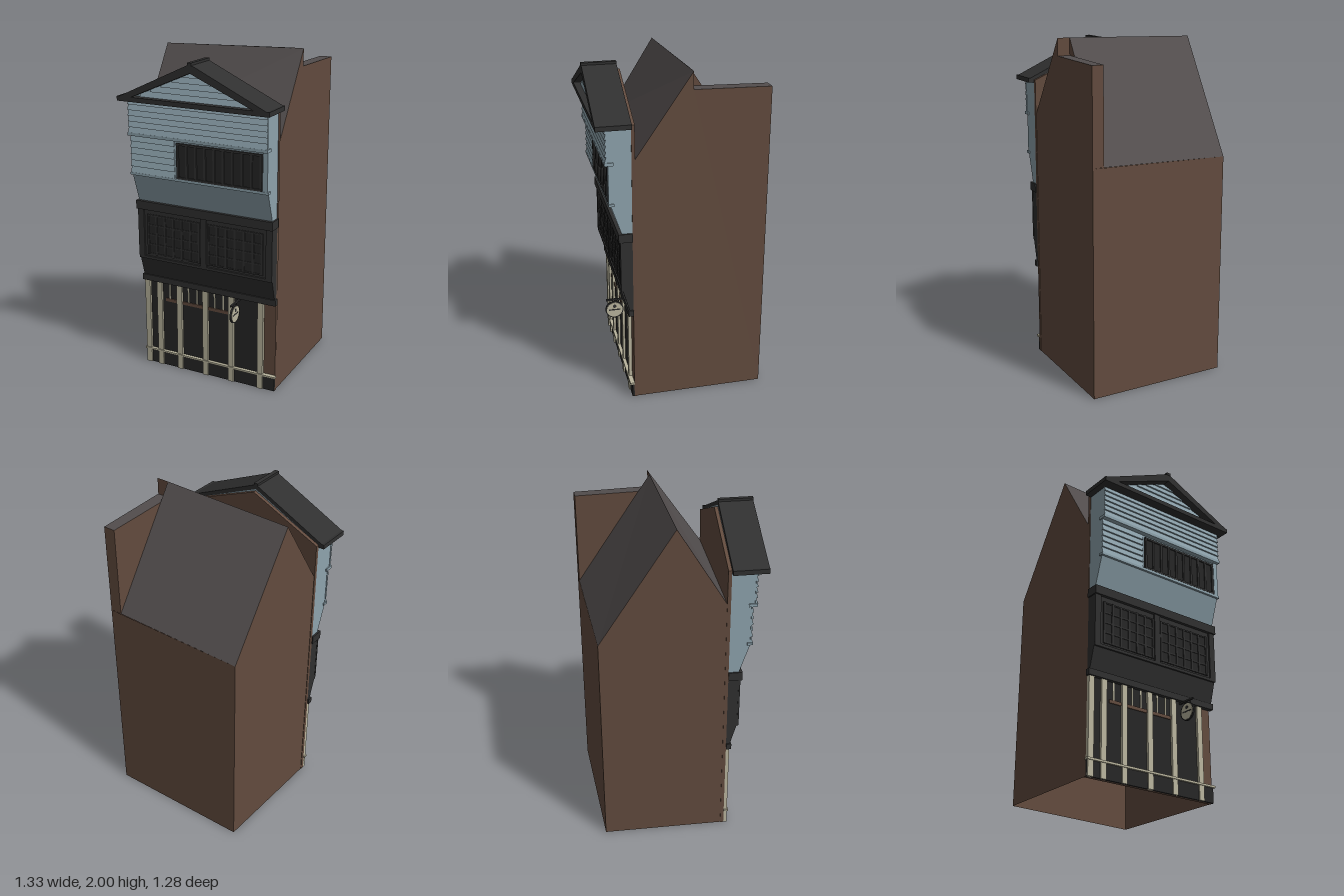
import * as THREE from 'three';

const mat = (name, color, side = THREE.FrontSide) => {
  const m = new THREE.MeshStandardMaterial({ color, side });
  m.name = name;
  return m;
};

export function createModel() {
  const brown = mat('brown wall', 0x624b3e, THREE.DoubleSide);
  const slate = mat('slate roof', 0x524d4d, THREE.DoubleSide);
  const black = mat('black timber', 0x303030);
  const dark = mat('dark glass', 0x262626);
  const blue = mat('blue siding', 0x8ea3ad);
  const cream = mat('cream paint', 0xbab59e);

  const model = new THREE.Group();
  model.name = 'townHouse';

  // Local frame: x runs along the facade, z points out of it
  const house = new THREE.Group();
  house.name = 'house';
  house.position.set(-0.23, 0, 0.135);
  house.rotation.y = -0.958;
  model.add(house);

  const add = (name, geo, material, parent = house) => {
    const mesh = new THREE.Mesh(geo, material);
    mesh.name = name;
    parent.add(mesh);
    return mesh;
  };
  // Box given by its limits
  const box = (name, x0, x1, y0, y1, z0, z1, material) => {
    const m = add(name, new THREE.BoxGeometry(x1 - x0, y1 - y0, z1 - z0), material);
    m.position.set((x0 + x1) / 2, (y0 + y1) / 2, (z0 + z1) / 2);
    return m;
  };
  const outline = pts => new THREE.Shape(pts.map(p => new THREE.Vector2(...p)));
  // Side profile of [z, y] points, swept along x from x0 to x1
  const sweep = (name, pts, x0, x1, material) => {
    const g = new THREE.ExtrudeGeometry(outline(pts), { depth: x1 - x0, bevelEnabled: false });
    g.rotateY(-Math.PI / 2);
    g.translate(x1, 0, 0);
    return add(name, g, material);
  };
  // Front outline of [x, y] points, swept from z0 to z1
  const slab = (name, pts, z0, z1, material) => {
    const g = new THREE.ExtrudeGeometry(outline(pts), { depth: z1 - z0, bevelEnabled: false });
    g.translate(0, 0, z0);
    return add(name, g, material);
  };
  // Flat polygons, each fanned from its first corner
  const faces = (name, polys, material) => {
    const pos = [];
    for (const p of polys)
      for (let i = 1; i < p.length - 1; i++) pos.push(...p[0], ...p[i], ...p[i + 1]);
    const g = new THREE.BufferGeometry();
    g.setAttribute('position', new THREE.Float32BufferAttribute(pos, 3));
    g.computeVertexNormals();
    return add(name, g, material);
  };

  // Main body: slightly skewed plan, open underneath
  const f0 = [-0.44, 0, -0.02], f1 = [0.44, 0, -0.02];
  const b1 = [0.426, 0, -0.788], b0 = [-0.433, 0, -0.732];
  const e0 = [-0.44, 1.53, -0.02], e1 = [0.44, 1.53, -0.02];
  const r0 = [-0.435, 1.98, -0.297], r1 = [0.432, 2, -0.345], r1in = [0.357, 2, -0.341];
  const k0 = [-0.433, 1.32, -0.732], k1in = [0.357, 1.34, -0.783], k1 = [0.426, 1.34, -0.788];
  const w1 = [0.432, 1.9, -0.345], w2 = [0.426, 1.89, -0.788];
  const v1 = [0.357, 1.9, -0.341], v2 = [0.357, 1.89, -0.783];
  faces('bodyWalls', [
    [b1, f1, e1, w1, w2], [e1, r1, w1],
    [f0, b0, k0, r0, e0],
    [b0, b1, k1, k0],
  ], brown);
  // Raised end wall behind the ridge
  faces('raisedEndWall', [[k1in, k1, w2, v2], [k1in, v2, v1, r1in], [v1, w1, r1, r1in]], brown);
  faces('raisedEndWallTop', [[v1, w1, w2, v2]], slate);
  faces('mainRoof', [[e0, e1, r1, r0], [r1in, k1in, k0, r0]], slate);

  // Facade wall with its pointed top
  slab('facadeWall', [[-0.443, 0], [0.443, 0], [0.443, 1.73], [0, 1.92], [-0.443, 1.73]], -0.02, 0, brown);

  // Ground floor shop front
  box('shopGlass', -0.41, 0.35, 0, 0.565, 0, 0.006, dark);
  box('shopPlinth', -0.443, 0.443, 0, 0.09, 0, 0.012, dark);
  box('shopSill', -0.45, 0.45, 0.088, 0.1, 0, 0.026, cream);
  for (const x of [-0.425, -0.34, -0.2, -0.02, 0.155, 0.35])
    box('shopPost', x - 0.018, x + 0.018, 0, 0.565, 0, 0.02, cream);
  box('shopTransom', -0.3, 0.15, 0.438, 0.458, 0, 0.012, brown);
  for (const x of [-0.27, -0.14, -0.08, 0.04, 0.1])
    box('transomBar', x - 0.004, x + 0.004, 0.458, 0.565, 0, 0.01, cream);

  // Black first floor with flared base, ledges and two lattice windows
  sweep('firstFloor', [[0, 0.59], [0.02, 0.59], [0.06, 0.73], [0.06, 1.09], [0, 1.09]], -0.443, 0.443, black);
  box('lowerLedge', -0.452, 0.452, 0.563, 0.6, 0, 0.03, black);
  box('upperLedge', -0.45, 0.45, 1.04, 1.092, 0, 0.08, black);
  box('windowSill', -0.443, 0.443, 0.725, 0.742, 0, 0.07, black);
  for (const x of [-0.425, 0, 0.425])
    box('windowPost', x - 0.02, x + 0.02, 0.742, 1.04, 0.06, 0.07, black);
  for (const c of [-0.205, 0.205]) {
    box('latticeGlass', c - 0.175, c + 0.175, 0.755, 1.01, 0.058, 0.063, dark);
    for (let i = 0; i <= 6; i++) {
      const x = c - 0.174 + i * 0.058;
      box('latticeUpright', x - 0.006, x + 0.006, 0.755, 1.01, 0.06, 0.068, black);
    }
    for (let i = 0; i <= 4; i++) {
      const y = 0.76 + i * 0.061;
      box('latticeBar', c - 0.18, c + 0.18, y - 0.004, y + 0.004, 0.06, 0.067, black);
    }
  }

  // Blue upper floors, jettied out in steps
  sweep('upperFloors', [[0, 1.09], [0.06, 1.09], [0.12, 1.27], [0.12, 1.51],
    [0.138, 1.515], [0.138, 1.72], [0, 1.72]], -0.44, 0.44, blue);
  box('lowerTrim', -0.447, 0.447, 1.265, 1.28, 0.1, 0.132, blue);
  box('middleTrim', -0.447, 0.447, 1.505, 1.523, 0.1, 0.15, blue);
  // One wedge-shaped clapboard
  const board = (x0, x1, y, h, z) =>
    sweep('clapboard', [[z - 0.004, y], [z + 0.011, y], [z + 0.001, y + h], [z - 0.004, y + h]], x0, x1, blue);
  for (let i = 0; i < 6; i++) {
    board(-0.443, -0.15, 1.28 + i * 0.0375, 0.0375, 0.12);
    board(-0.443, 0.443, 1.523 + i * 0.033, 0.033, 0.138);
  }

  // Barred window of the second floor
  box('barredGlass', -0.134, 0.405, 1.28, 1.49, 0.118, 0.126, dark);
  for (let i = 0; i <= 9; i++) {
    const x = -0.128 + i * 0.0585;
    box('windowBar', x - 0.007, x + 0.007, 1.28, 1.49, 0.12, 0.132, black);
  }
  for (const y of [1.286, 1.484])
    box('windowRail', -0.135, 0.406, y - 0.006, y + 0.006, 0.12, 0.133, black);
  box('windowJamb', 0.41, 0.44, 1.28, 1.505, 0.12, 0.13, blue);

  // Front gable: soffit, siding, pitched roof and ridge cap
  box('soffit', -0.478, 0.478, 1.715, 1.742, 0, 0.2, black);
  slab('gableWall', [[-0.43, 1.735], [0.43, 1.735], [0, 1.93]], 0, 0.15, blue);
  for (let i = 0; i < 5; i++) {
    const y = 1.742 + i * 0.033;
    const half = 0.478 * (1.925 - y - 0.033) / 0.225 + 0.03;
    board(-half, half, y, 0.033, 0.15);
  }
  slab('gableRoof', [[-0.478, 1.735], [-0.4, 1.735], [0, 1.908], [0.4, 1.735], [0.478, 1.735], [0, 1.958]], 0, 0.2, black);
  sweep('ridgeCap', [[0, 1.948], [0.202, 1.948], [0.202, 1.966], [0, 1.966]], -0.013, 0.013, black);

  // Round sign hanging from a bracket, at right angles to the facade
  const sign = new THREE.Group();
  sign.name = 'hangingSign';
  sign.position.set(0.21, 0.485, 0.075);
  house.add(sign);
  const disc = (name, r, t, material) => {
    const g = new THREE.CylinderGeometry(r, r, t, 24);
    g.rotateZ(Math.PI / 2);
    return add(name, g, material, sign);
  };
  disc('signRim', 0.055, 0.01, black);
  disc('signFace', 0.048, 0.014, cream);
  add('signBand', new THREE.BoxGeometry(0.016, 0.008, 0.07), black, sign);
  disc('signDot', 0.011, 0.016, black).position.y = 0.024;
  for (const z of [-0.025, 0.025])
    add('signHanger', new THREE.BoxGeometry(0.005, 0.03, 0.005), black, sign).position.set(0, 0.055, z);
  box('signBracket', 0.205, 0.215, 0.547, 0.557, 0, 0.125, black);

  return model;
}
